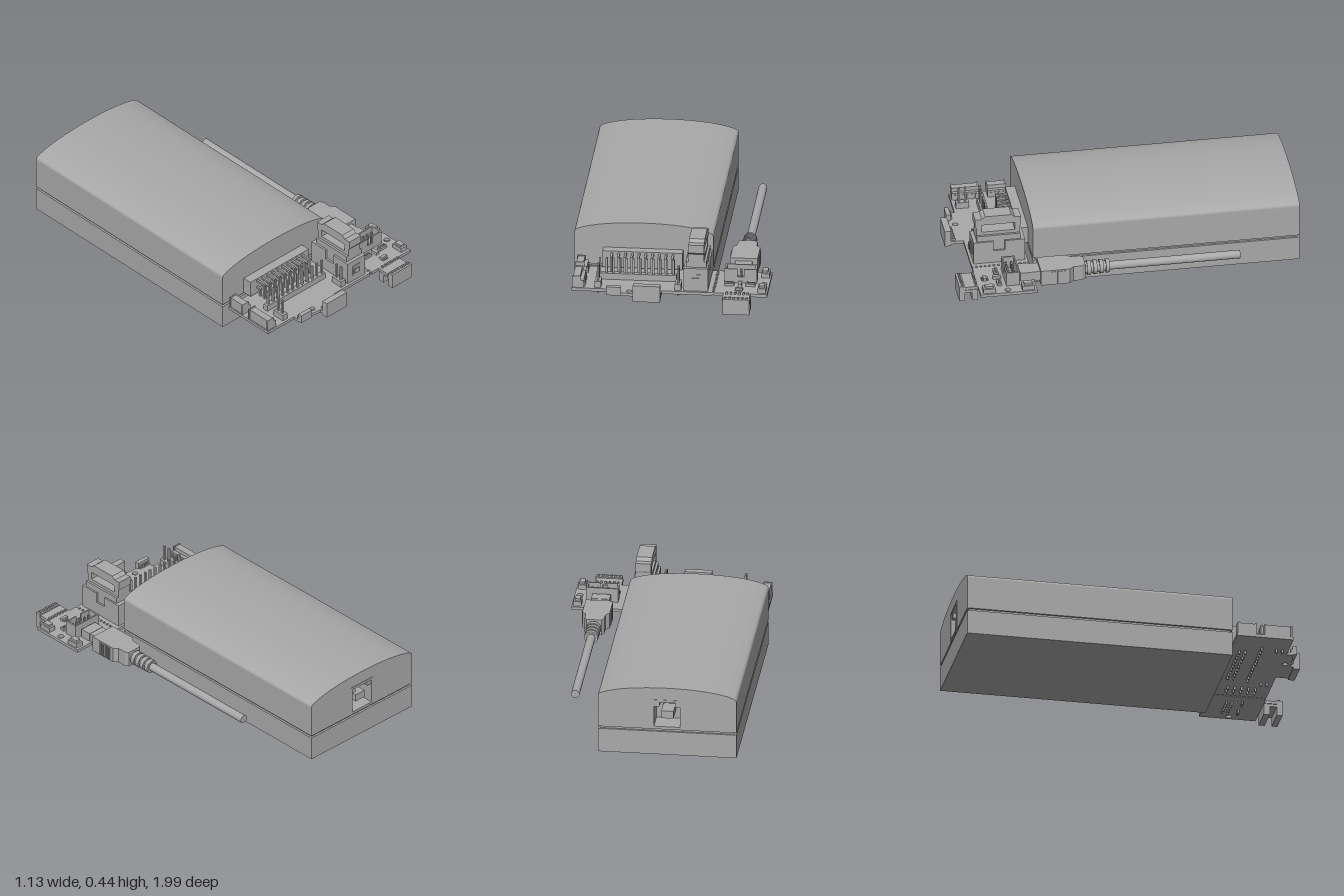
import * as THREE from 'three';

const grey = new THREE.MeshStandardMaterial({ color: 0xa9a9a9 });
grey.name = 'neutral grey';

export function createModel() {
  const model = new THREE.Group();
  model.name = 'controllerModule';

  const add = (name, geo, parent = model) => {
    const m = new THREE.Mesh(geo, grey);
    m.name = name;
    parent.add(m);
    return m;
  };
  // box given by its limits
  const box = (name, x0, x1, y0, y1, z0, z1, parent) => {
    const m = add(name, new THREE.BoxGeometry(x1 - x0, y1 - y0, z1 - z0), parent);
    m.position.set((x0 + x1) / 2, (y0 + y1) / 2, (z0 + z1) / 2);
    return m;
  };
  const poly = (pts) => new THREE.Shape(pts.map(([x, y]) => new THREE.Vector2(x, y)));
  const rectPath = (x0, x1, y0, y1) =>
    new THREE.Path([[x0, y0], [x0, y1], [x1, y1], [x1, y0]].map(([x, y]) => new THREE.Vector2(x, y)));
  const circle = (x, y, r) => new THREE.Path().absarc(x, y, r, 0, Math.PI * 2, true);
  const extrude = (shape, depth) =>
    new THREE.ExtrudeGeometry(shape, { depth, bevelEnabled: false, curveSegments: 16 });
  // plan outline (x, z) extruded down from the given top
  const slab = (name, shape, top, thick, parent) => {
    const m = add(name, extrude(shape, thick).rotateX(Math.PI / 2), parent);
    m.position.y = top;
    return m;
  };
  // outline (z, y) extruded across x
  const sideways = (name, shape, x0, x1, parent) => {
    const m = add(name, extrude(shape, x1 - x0).rotateY(-Math.PI / 2), parent);
    m.position.x = x1;
    return m;
  };
  const pin = (x, z, y0, y1, parent, r = 0.005) => box('pin', x - r, x + r, y0, y1, z - r, z + r, parent);
  const group = (name) => {
    const g = new THREE.Group();
    g.name = name;
    model.add(g);
    return g;
  };

  // enclosure: lower tray, recessed seam, domed lid with a socket in the back
  const L = -0.565, R = 0.225, C = (L + R) / 2;
  const housing = group('enclosure');
  box('lowerTray', L, R, 0, 0.143, -1, 0.53, housing);
  box('seam', L + 0.012, R - 0.012, 0.143, 0.157, -0.988, 0.518, housing);
  const lidShape = () => {
    const s = new THREE.Shape();
    s.moveTo(L, 0.157);
    s.lineTo(R, 0.157);
    s.lineTo(R, 0.345);
    s.quadraticCurveTo(R, 0.363, R - 0.022, 0.37);
    s.bezierCurveTo(C + 0.23, 0.43, C - 0.23, 0.43, L + 0.022, 0.37);
    s.quadraticCurveTo(L, 0.363, L, 0.345);
    s.closePath();
    return s;
  };
  add('lid', extrude(lidShape(), 1.41), housing).position.z = -0.88;
  const rearShape = lidShape();
  rearShape.holes.push(rectPath(C - 0.075, C + 0.075, 0.175, 0.325));
  add('lidRear', extrude(rearShape, 0.12), housing).position.z = -1;
  const rim = poly([[C - 0.09, 0.16], [C + 0.09, 0.16], [C + 0.09, 0.34], [C - 0.09, 0.34]]);
  rim.holes.push(rectPath(C - 0.075, C + 0.075, 0.175, 0.325));
  add('socketRim', extrude(rim, 0.004), housing).position.z = -1.002;
  box('socketTongue', C - 0.035, C + 0.035, 0.22, 0.265, -0.985, -0.88, housing);
  for (const s of [-1, 1]) box('socketCorner', C + s * 0.06 - 0.015, C + s * 0.06 + 0.015, 0.295, 0.325, -0.995, -0.88, housing);

  // circuit boards joined by a perforated strip
  const TOP = 0.153, THICK = 0.018;
  const main = poly([[-0.547, 0.56], [0.25, 0.56], [0.25, 0.885], [-0.035, 0.885], [-0.035, 0.955],
    [-0.19, 0.955], [-0.19, 0.94], [-0.345, 0.925], [-0.345, 0.885], [-0.547, 0.885]]);
  main.holes.push(circle(-0.218, 0.902, 0.016));
  slab('mainBoard', main, TOP, THICK);
  const small = poly([[0.264, 0.56], [0.563, 0.56], [0.563, 0.885], [0.468, 0.885], [0.468, 0.96],
    [0.315, 0.96], [0.315, 0.885], [0.264, 0.885]]);
  small.holes.push(circle(0.532, 0.725, 0.018));
  slab('smallBoard', small, TOP, THICK);
  for (let i = 0; i < 13; i++) box('breakTab', 0.249, 0.265, TOP - THICK, TOP, 0.565 + i * 0.025, 0.578 + i * 0.025);

  // connector entering the enclosure, with two rows of bent pins
  const link = group('enclosureConnector');
  box('connectorBody', -0.4, 0.055, 0.16, 0.26, 0.51, 0.585, link);
  for (let i = 0; i < 10; i++) {
    const x = -0.345 + i * 0.0385;
    for (const [y, z] of [[0.245, 0.645], [0.2, 0.612]]) {
      box('pinArm', x - 0.006, x + 0.006, y - 0.006, y + 0.006, 0.58, z + 0.006, link);
      pin(x, z, 0.115, y, link, 0.006);
    }
  }

  // long pin header and two jumper headers
  const header = group('pinHeader');
  box('headerStrip', -0.42, 0.035, TOP, 0.19, 0.715, 0.745, header);
  for (let i = 0; i < 12; i++) pin(-0.4 + i * 0.038, 0.73, 0.115, 0.28, header, 0.006);
  for (const x of [-0.4, 0.055]) {
    box('jumperStrip', x - 0.018, x + 0.018, TOP, 0.19, 0.795, 0.87, header);
    for (const z of [0.815, 0.85]) pin(x, z, 0.115, 0.28, header, 0.006);
  }

  // side connectors on the outer edge: open trays with contacts
  for (const [z0, z1, n] of [[0.565, 0.672, 4], [0.72, 0.878, 6]]) {
    const g = group('edgeConnector');
    box('base', -0.54, -0.48, TOP, 0.195, z0, z1, g);
    box('backWall', -0.54, -0.5, 0.195, 0.218, z0 + 0.008, z1 - 0.008, g);
    for (const z of [z0, z1 - 0.008]) box('endWall', -0.545, -0.495, TOP, 0.222, z, z + 0.008, g);
    for (let i = 0; i < n; i++) {
      const z = z0 + 0.018 + (i * (z1 - z0 - 0.036)) / (n - 1);
      box('contact', -0.482, -0.474, TOP, 0.185, z - 0.005, z + 0.005, g);
    }
  }

  // tall ribbon connector with plug and strain relief
  const tall = group('ribbonConnector');
  sideways('shell', poly([[0.575, TOP], [0.87, TOP], [0.87, 0.29], [0.755, 0.29], [0.755, 0.23],
    [0.69, 0.23], [0.69, 0.29], [0.575, 0.29]]), 0.088, 0.225, tall);
  box('latchFrame', 0.125, 0.185, 0.195, 0.255, 0.868, 0.874, tall);
  box('latch', 0.135, 0.175, 0.205, 0.235, 0.872, 0.88, tall);
  box('plug', 0.1, 0.215, 0.22, 0.325, 0.6, 0.85, tall);
  const loop = poly([[0.6, 0.32], [0.85, 0.32], [0.85, 0.37], [0.858, 0.38], [0.858, 0.428], [0.82, 0.428],
    [0.8, 0.445], [0.65, 0.445], [0.63, 0.428], [0.595, 0.428], [0.595, 0.38], [0.6, 0.37]]);
  loop.holes.push(rectPath(0.63, 0.82, 0.345, 0.39));
  sideways('strainRelief', loop, 0.113, 0.202, tall);
  for (let i = 0; i < 5; i++) for (const x of [0.135, 0.175]) pin(x, 0.64 + i * 0.04, 0.115, TOP, tall, 0.006);

  // front edge connectors
  box('frontConnector', -0.19, -0.035, 0.125, 0.222, 0.955, 0.992);
  for (let i = 0; i < 6; i++) box('frontContact', -0.178 + i * 0.025, -0.17 + i * 0.025, TOP, 0.165, 0.93, 0.96);
  box('smallFrontConnector', -0.345, -0.262, 0.14, 0.19, 0.92, 0.945);
  for (let i = 0; i < 4; i++) pin(-0.335 + i * 0.02, 0.915, TOP, 0.175);

  // connector hanging beneath the small board
  const under = group('underConnector');
  box('frontPlate', 0.32, 0.472, 0.068, 0.16, 0.96, 0.993, under);
  box('bridge', 0.32, 0.472, 0.12, 0.136, 0.9, 0.965, under);
  box('rearPlate', 0.32, 0.472, 0.068, 0.136, 0.885, 0.92, under);
  for (let i = 0; i < 6; i++) {
    pin(0.335 + i * 0.024, 0.895, 0.12, 0.165, under, 0.006);
    pin(0.335 + i * 0.024, 0.975, 0.15, 0.168, under, 0.006);
  }

  // shrouded header with key notch
  const shroud = group('shroudedHeader');
  box('floor', 0.307, 0.49, TOP, 0.17, 0.65, 0.727, shroud);
  box('rearWall', 0.307, 0.49, TOP, 0.237, 0.65, 0.658, shroud);
  box('notchSill', 0.38, 0.417, TOP, 0.19, 0.719, 0.727, shroud);
  for (const [a, b] of [[0.307, 0.38], [0.417, 0.49]]) box('frontWall', a, b, TOP, 0.237, 0.719, 0.727, shroud);
  for (const x of [0.307, 0.48]) box('endWall', x, x + 0.01, TOP, 0.237, 0.65, 0.727, shroud);
  for (let i = 0; i < 5; i++) for (const z of [0.673, 0.704]) pin(0.336 + i * 0.031, z, 0.115, 0.215, shroud);

  // small parts on the board
  for (const z of [0.575, 0.798]) {
    box('switchBase', 0.508, 0.554, TOP, 0.18, z, z + 0.07);
    box('switchCap', 0.515, 0.545, 0.18, 0.193, z + 0.012, z + 0.058);
  }
  for (const x of [0.31, 0.43]) {
    box('miniStrip', x, x + 0.055, TOP, 0.168, 0.75, 0.777);
    for (let i = 0; i < 3; i++) pin(x + 0.012 + i * 0.016, 0.763, 0.118, 0.175);
  }
  box('crystal', 0.388, 0.408, TOP, 0.172, 0.745, 0.79);
  box('chip', 0.378, 0.42, TOP, 0.17, 0.828, 0.846);
  for (let i = 0; i < 3; i++) for (const z of [0.822, 0.852]) pin(0.386 + i * 0.013, z, TOP, 0.16, model, 0.004);

  // cable: socket, plug, ribbed strain relief and lead
  const cable = group('cable'), X = 0.398, Y = 0.173;
  box('socket', 0.347, 0.452, TOP, 0.205, 0.575, 0.64, cable);
  box('plugTip', 0.35, 0.447, 0.145, 0.203, 0.52, 0.58, cable);
  slab('plugBody', poly([[0.32, 0.525], [0.32, 0.36], [0.342, 0.335], [0.342, 0.285], [0.355, 0.265],
    [0.441, 0.265], [0.454, 0.285], [0.454, 0.335], [0.476, 0.36], [0.476, 0.525]]), 0.22, 0.093, cable);
  for (const s of [-1, 1]) for (let i = 0; i < 5; i++) {
    const x = X + s * 0.079;
    box('gripRib', x - 0.004, x + 0.004, 0.135, 0.212, 0.385 + i * 0.018, 0.394 + i * 0.018, cable);
  }
  const rod = (name, r0, r1, z0, z1) => {
    const m = add(name, new THREE.CylinderGeometry(r1, r0, z1 - z0, 24).rotateX(Math.PI / 2), cable);
    m.position.set(X, Y, (z0 + z1) / 2);
  };
  rod('reliefCore', 0.028, 0.034, 0.12, 0.27);
  for (let i = 0; i < 4; i++) rod('reliefRing', 0.038 + i * 0.001, 0.04 + i * 0.001, 0.122 + i * 0.036, 0.144 + i * 0.036);
  rod('lead', 0.024, 0.024, -0.628, 0.13);

  return model;
}
